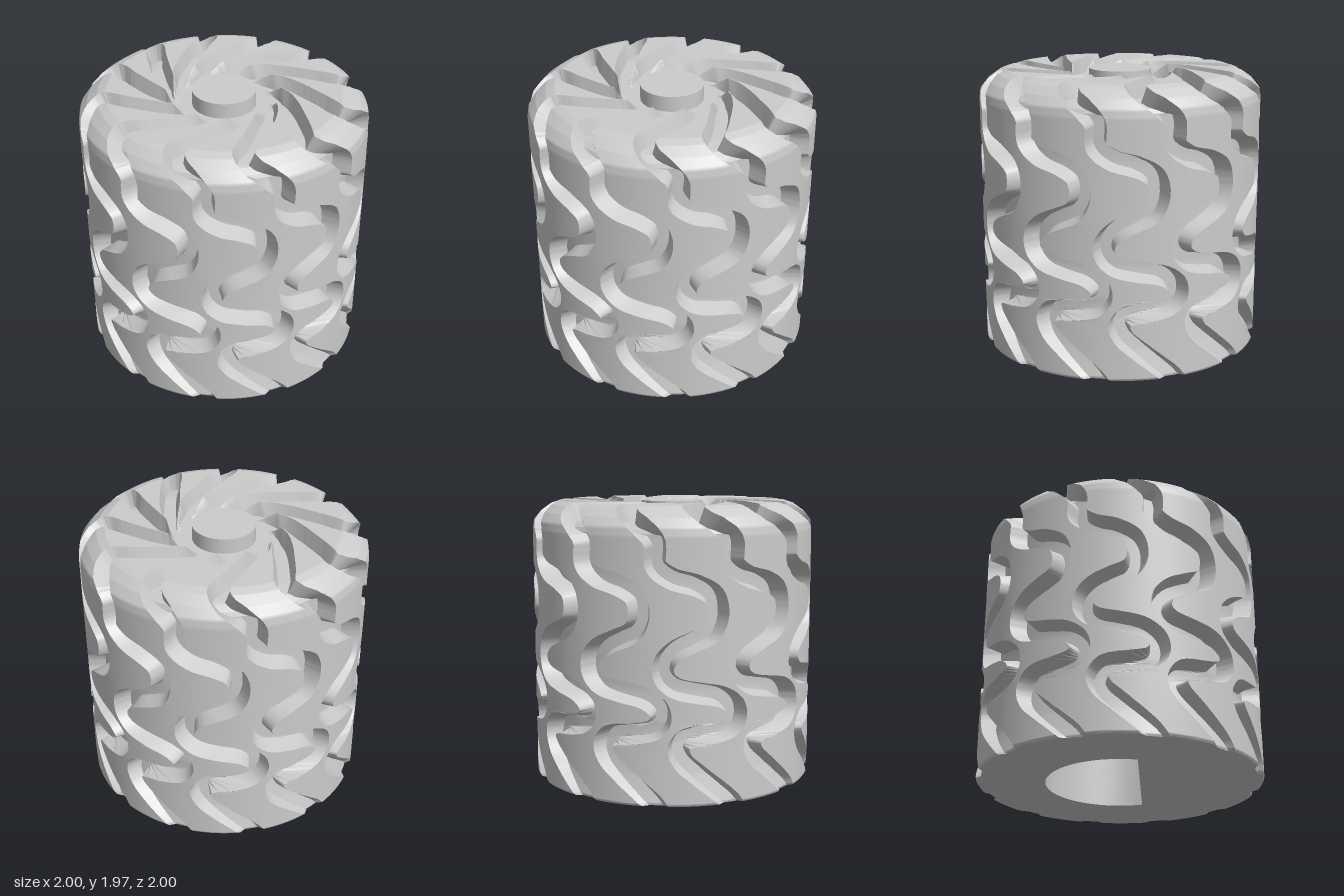
import * as THREE from 'three';
import { toCreasedNormals } from 'three/addons/utils/BufferGeometryUtils.js';

const COUNT = 12, PITCH = (Math.PI * 2) / COUNT;
const material = new THREE.MeshStandardMaterial({ color: 0xcccccc });

// Outer profile from the bottom edge to the dish: radius, height, inward direction, groove depth
const PROFILE = [
  [0.99, 0, -1, 0, 0.03], [1, 0.015, -1, 0, 0.035], [1, 0.2, -1, 0, 0.08], [1, 0.42, -1, 0, 0.12],
  [1, 1.78, -1, 0, 0.13], [0.99, 1.84, -0.92, -0.4, 0.13], [0.94, 1.9, -0.7, -0.7, 0.12],
  [0.87, 1.95, -0.5, -0.86, 0.12], [0.81, 1.97, -0.2, -0.98, 0.12], [0.7, 1.97, 0, -1, 0.11],
  [0.4, 1.97, 0, -1, 0.11], [0.34, 1.87, 0, -1, 0.01], [0.32, 1.86, 0, -1, 0], [0.2, 1.86, 0, -1, 0],
];
const LENGTHS = [0];
for (let i = 1; i < PROFILE.length; i++) {
  const [a, b] = [PROFILE[i - 1], PROFILE[i]];
  LENGTHS.push(LENGTHS[i - 1] + Math.hypot(b[0] - a[0], b[1] - a[1]));
}
const TOTAL = LENGTHS[LENGTHS.length - 1];

function profileAt(s) {
  let i = 1;
  while (i < PROFILE.length - 1 && s > LENGTHS[i]) i++;
  const t = (s - LENGTHS[i - 1]) / (LENGTHS[i] - LENGTHS[i - 1]);
  return PROFILE[i].map((v, k) => THREE.MathUtils.lerp(PROFILE[i - 1][k], v, t));
}

// Winding centre line of one groove: angle in degrees, distance along the profile
const PATH = [
  [19, -0.08], [15, 0.02], [10, 0.1], [2.5, 0.21], [-4, 0.315], [-5.7, 0.395], [-3, 0.465],
  [5.2, 0.49], [14.5, 0.525], [17.5, 0.585], [17, 0.66], [11.5, 0.735], [1, 0.775], [-7, 0.81],
  [-11, 0.88], [-11, 0.97], [-7, 1.05], [0, 1.11], [7, 1.17], [9.5, 1.275], [8, 1.4], [1, 1.475],
  [-8, 1.52], [-14, 1.6], [-14.5, 1.75], [-20, 1.86], [-26, 1.95], [-28.5, 2.05],
  [-22.5, 2.18], [-14.3, 2.3], [-2, 2.41], [14, 2.51], [30, 2.6],
];
const SAMPLES = new THREE.CatmullRomCurve3(
  PATH.map(([deg, s]) => new THREE.Vector3(THREE.MathUtils.degToRad(deg), s, 0))
).getPoints(360);

// Angles where the groove, of a given half width, begins and ends on one row
function grooveSpan(s, r, half) {
  let start = SAMPLES[0];
  for (const p of SAMPLES) if (Math.abs(p.y - s) < Math.abs(start.y - s)) start = p;
  const near = SAMPLES.filter((p) => Math.abs(p.y - s) <= half);
  const inside = (a) => near.some((p) => Math.hypot((p.x - a) * r, p.y - s) < half);
  const scan = (dir) => {
    let d = 0;
    while (d < PITCH && inside(start.x + dir * (d + 0.002))) d += 0.002;
    return start.x + dir * d;
  };
  return [scan(-1), scan(1)];
}

// Closed rings of points joined into a surface
function loft(rings, crease) {
  const n = rings[0].length, index = [];
  for (let i = 0; i < rings.length - 1; i++) {
    for (let j = 0; j < n; j++) {
      const k = (j + 1) % n;
      const [a, b, c, d] = [i * n + j, i * n + k, (i + 1) * n + k, (i + 1) * n + j];
      index.push(a, b, c, a, c, d);
    }
  }
  const geometry = new THREE.BufferGeometry().setFromPoints(rings.flat());
  geometry.setIndex(index);
  return toCreasedNormals(geometry, crease);
}

// One ring of the tread: groove walls and floor, then the raised block
function treadRing(s) {
  const [r, y, nr, ny, depth] = profileAt(s);
  let [c0, c1] = grooveSpan(s, r, 0.072);
  let [f0, f1] = grooveSpan(s, r, 0.042);
  const limit = PITCH * 0.96;
  if (c1 - c0 > limit) {
    const mid = (c0 + c1) / 2;
    [c0, c1] = [mid - limit / 2, mid + limit / 2];
  }
  f0 = Math.max(f0, c0 + 0.008);
  f1 = Math.min(f1, c1 - 0.008);
  const columns = [[c0, 0], [f0, 1], [(f0 + f1) / 2, 1], [f1, 1], [c1, 0]];
  for (let k = 1; k < 7; k++) columns.push([THREE.MathUtils.lerp(c1, c0 + PITCH, k / 7), 0]);
  const ring = [];
  for (let g = 0; g < COUNT; g++) {
    for (const [angle, sunk] of columns) {
      const rad = r + nr * depth * sunk, a = angle + g * PITCH;
      ring.push(new THREE.Vector3(rad * Math.sin(a), y + ny * depth * sunk, rad * Math.cos(a)));
    }
  }
  return ring;
}

export function createModel() {
  const group = new THREE.Group();
  const add = (name, geometry) => {
    const mesh = new THREE.Mesh(geometry, material);
    mesh.name = name;
    group.add(mesh);
    return mesh;
  };

  // Grooved side, rounded rim and swirling top
  const stations = [...LENGTHS];
  const ROWS = 220;
  for (let i = 1; i < ROWS; i++) stations.push((TOTAL * i) / ROWS);
  stations.sort((a, b) => a - b);
  const rings = stations.filter((s, i) => i === 0 || s - stations[i - 1] > 0.0005).map(treadRing);
  add('treadBody', loft(rings, 0.6));

  // Central hub on the top
  add('hub', new THREE.CylinderGeometry(0.22, 0.22, 0.12, 64)).position.y = 1.91;

  // D-shaped bore from below
  const boreRadius = 0.52, flat = 0.14, t0 = Math.acos(flat / boreRadius), outline = [];
  for (let i = 0; i <= 56; i++) {
    const t = THREE.MathUtils.lerp(t0, Math.PI * 2 - t0, i / 56);
    outline.push(new THREE.Vector2(boreRadius * Math.cos(t), boreRadius * Math.sin(t)));
  }
  const boreRing = (scale, y) => outline.map((p) => new THREE.Vector3(p.x * scale, y, p.y * scale));
  add('bore', loft([boreRing(1, 0), boreRing(1, 1.2), boreRing(0.001, 1.2)], 0.6));

  // Flat underside around the bore
  const base = new THREE.Shape(rings[0].map((p) => new THREE.Vector2(p.x, p.z)));
  base.holes.push(new THREE.Path(outline));
  add('underside', new THREE.ShapeGeometry(base).rotateX(Math.PI / 2));

  return group;
}
